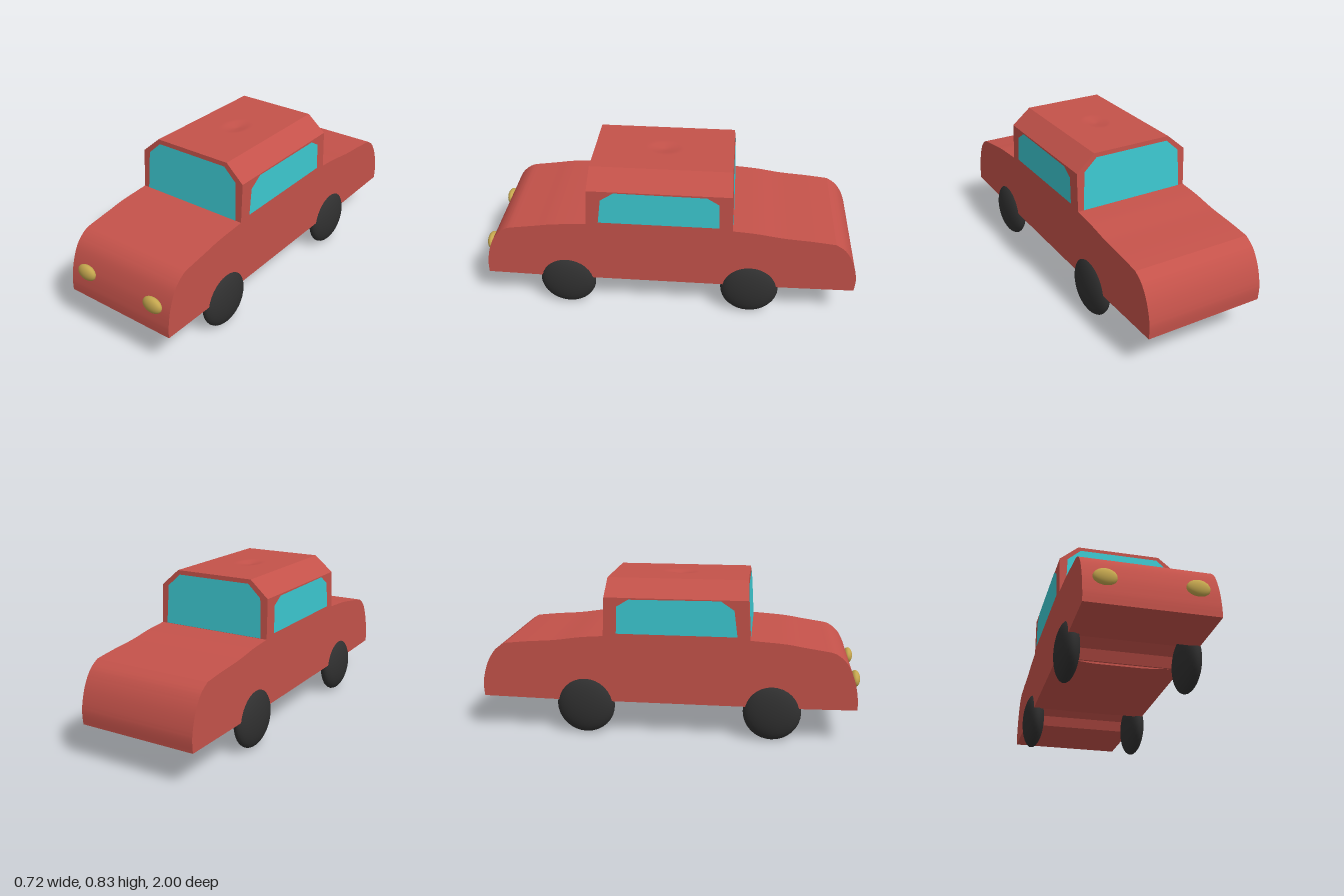
import * as THREE from 'three';
import { toCreasedNormals } from 'three/addons/utils/BufferGeometryUtils.js';

const paint = new THREE.MeshStandardMaterial({ color: 0xc4524a });
const glass = new THREE.MeshStandardMaterial({ color: 0x3cc8d0, side: THREE.DoubleSide });
const rubber = new THREE.MeshStandardMaterial({ color: 0x303030 });
const brass = new THREE.MeshStandardMaterial({ color: 0xc4a64e });

const HALF = 0.32, SILL = 0.54, ROOF = 0.833;
const axles = [{ name: 'front', z: 0.55, r: 0.152 }, { name: 'rear', z: -0.44, r: 0.156 }];

// The cabin ends lean inwards slightly towards the roof
const lean = y => (y - SILL) / (ROOF - SILL);
const frontZ = y => 0.428 - 0.018 * lean(y);
const rearZ = y => -0.337 + 0.012 * lean(y);

const shapeOf = pts => new THREE.Shape(pts.map(([x, y]) => new THREE.Vector2(x, y)));
const extrude = (shape, depth) => new THREE.ExtrudeGeometry(shape, { depth, bevelEnabled: false, curveSegments: 8 });

function moveVertices(geo, rule) {
  const p = geo.attributes.position, v = new THREE.Vector3();
  for (let i = 0; i < p.count; i++) {
    rule(v.fromBufferAttribute(p, i));
    p.setXYZ(i, v.x, v.y, v.z);
  }
  geo.computeVertexNormals();
  return geo;
}

export function createModel() {
  const car = new THREE.Group();
  car.name = 'car';
  const add = (name, geo, mat) => {
    const mesh = new THREE.Mesh(geo, mat);
    mesh.name = name;
    car.add(mesh);
    return mesh;
  };

  // Lower body: side profile (z, y) with two wheel arches, extruded across the width
  const arch = (s, z) => {
    for (const [dz, y] of [[-0.14, 0.182], [-0.115, 0.235], [-0.065, 0.275], [0.065, 0.275], [0.115, 0.235], [0.14, 0.182]])
      s.lineTo(z + dz, y);
  };
  const curve = (s, pts) => s.splineThru(pts.map(([z, y]) => new THREE.Vector2(z, y)));
  const profile = new THREE.Shape();
  profile.moveTo(-0.995, 0.187);
  profile.lineTo(-0.62, 0.182);
  arch(profile, axles[1].z);
  arch(profile, axles[0].z);
  profile.lineTo(0.985, 0.187);
  curve(profile, [[0.983, 0.25], [0.965, 0.34], [0.925, 0.43], [0.865, 0.483], [0.8, 0.498]]);
  curve(profile, [[0.7, 0.513], [0.6, 0.528], [0.428, SILL]]);
  profile.lineTo(-0.337, SILL);
  curve(profile, [[-0.46, 0.53], [-0.6, 0.51], [-0.75, 0.498], [-0.87, 0.485]]);
  curve(profile, [[-0.925, 0.445], [-0.97, 0.37], [-0.997, 0.27], [-0.995, 0.187]]);
  const body = extrude(profile, 2 * HALF).translate(0, 0, -HALF).rotateY(-Math.PI / 2);
  add('body', toCreasedNormals(body, 0.4), paint);

  // Slightly bulging floor between the wheels
  const floor = shapeOf([[-0.3, 0.185], [-0.13, 0.172], [0.13, 0.172], [0.3, 0.185]]);
  add('floor', extrude(floor, 0.68).translate(0, 0, -0.28), paint);

  // Cabin with chamfered roof edges and a recess for the roof panel
  const section = shapeOf([
    [-HALF, SILL], [HALF, SILL], [HALF, 0.746], [0.22, ROOF], [0.22, 0.8],
    [-0.22, 0.8], [-0.22, ROOF], [-HALF, 0.746]]);
  const cabin = moveVertices(extrude(section, 1), v => {
    v.z = v.z > 0.5 ? frontZ(v.y) : rearZ(v.y);
  });
  add('cabin', cabin, paint);

  // Roof panel with a small dent in the middle
  const roof = new THREE.BoxGeometry(0.44, 0.033, 1, 36, 1, 60).translate(0, ROOF - 0.0165, 0);
  moveVertices(roof, v => {
    v.z = THREE.MathUtils.lerp(rearZ(v.y), frontZ(v.y), v.z + 0.5);
    const d = Math.hypot(v.x / 0.065, (v.z - 0.04) / 0.09);
    if (v.y > 0.82 && d < 1) v.y -= 0.012 * (1 - d);
  });
  add('roof', roof, paint);

  // Windscreen and rear window follow the lean of the cabin
  const screen = shapeOf([[-0.288, 0.542], [0.288, 0.542], [0.279, 0.746], [0.208, 0.811], [-0.208, 0.811], [-0.279, 0.746]]);
  add('windscreen', moveVertices(new THREE.ShapeGeometry(screen), v => { v.z = frontZ(v.y) + 0.003; }), glass);
  add('rearWindow', moveVertices(new THREE.ShapeGeometry(screen).rotateY(Math.PI), v => { v.z = rearZ(v.y) - 0.003; }), glass);

  // Side windows, outlined in (z, y)
  const pane = shapeOf([[0.363, 0.556], [0.345, 0.695], [0.275, 0.742], [-0.2, 0.738], [-0.262, 0.7], [-0.267, 0.556]]);
  for (const [side, s] of [['left', 1], ['right', -1]]) {
    const window = new THREE.ShapeGeometry(s > 0 ? shapeOf(pane.getPoints().map(p => [-p.x, p.y])) : pane);
    add(side + 'Window', window.rotateY(s * Math.PI / 2).translate(s * (HALF + 0.003), 0, 0), glass);

    // Flattened round wheels
    for (const { name, z, r } of axles) {
      const wheel = add(`${name}${side}Wheel`, new THREE.SphereGeometry(1, 32, 20).rotateZ(Math.PI / 2), rubber);
      wheel.scale.set(0.058, r, r);
      wheel.position.set(s * 0.3, r, z);
    }

    // Oval headlights
    const lamp = add(side + 'Headlight', new THREE.SphereGeometry(1, 24, 16), brass);
    lamp.scale.set(0.057, 0.043, 0.026);
    lamp.position.set(s * 0.216, 0.326, 0.974);
  }
  return car;
}
